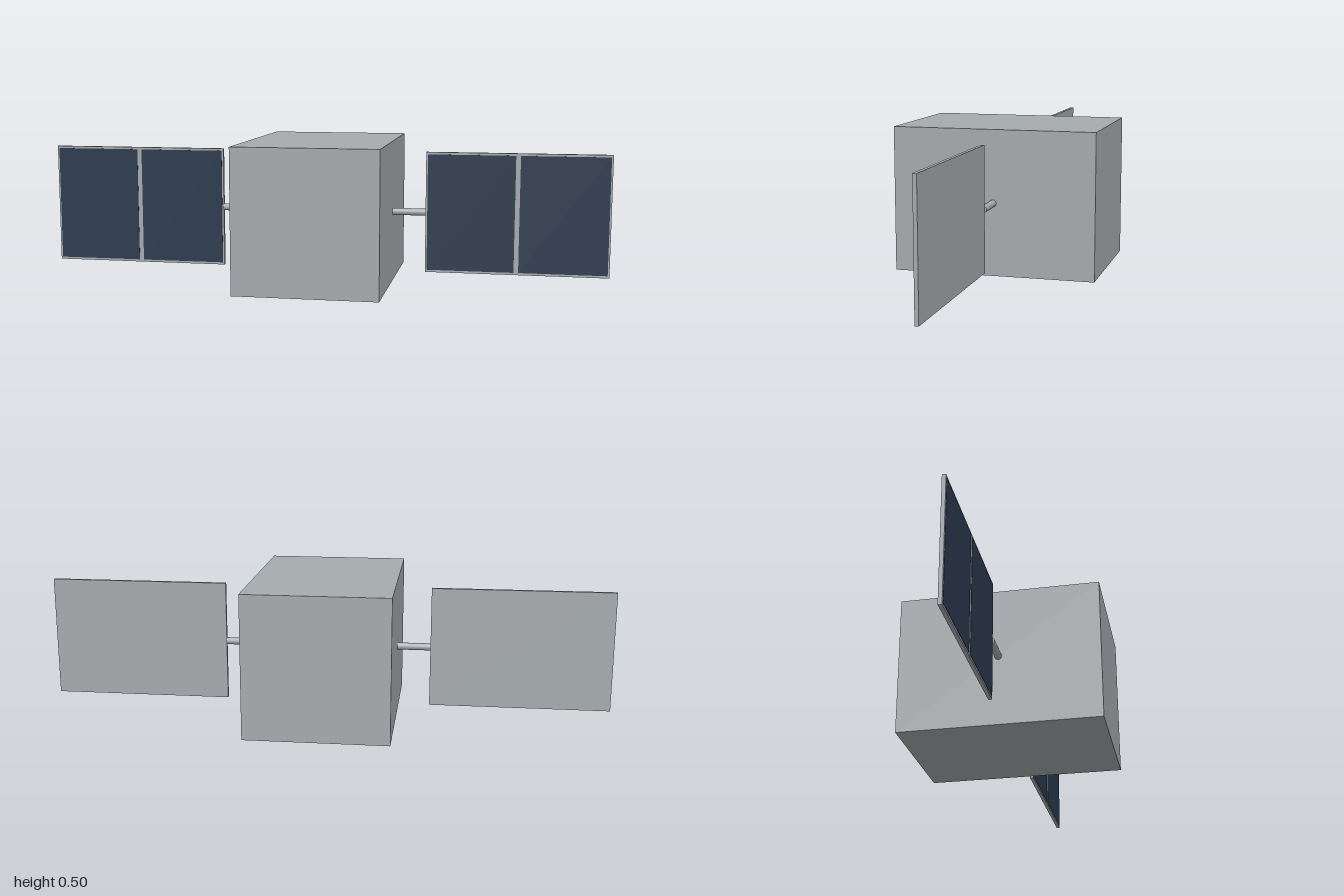
import * as THREE from 'three';

export function createModel() {
  const metal = new THREE.MeshStandardMaterial({ color: 0xa6abae });
  metal.name = 'grey metal';
  const cellBlue = new THREE.MeshStandardMaterial({ color: 0x2c3a4e });
  cellBlue.name = 'dark blue cell';

  const model = new THREE.Group();
  model.name = 'satellite';
  const midY = 0.25;

  const addBox = (parent, name, material, size, position) => {
    const mesh = new THREE.Mesh(new THREE.BoxGeometry(...size), material);
    mesh.name = name;
    mesh.position.set(...position);
    parent.add(mesh);
  };

  // Main body
  addBox(model, 'body', metal, [0.5, 0.5, 0.7], [0, midY, 0]);

  // A boom and a solar wing on each side
  const inner = 0.366, outer = 1;
  const wingWidth = outer - inner, wingHeight = 0.425;
  const border = 0.006, divider = 0.016;
  const cellWidth = (wingWidth - divider) / 2 - border;
  const cellHeight = wingHeight - 2 * 0.008;

  for (const side of [1, -1]) {
    const wing = new THREE.Group();
    wing.name = side > 0 ? 'leftWing' : 'rightWing';
    model.add(wing);

    const boom = new THREE.Mesh(new THREE.CylinderGeometry(0.0125, 0.0125, inner - 0.24, 16), metal);
    boom.name = 'boom';
    boom.rotation.z = Math.PI / 2;
    boom.position.set(side * (inner + 0.24) / 2, midY, 0);
    wing.add(boom);

    const centre = side * (inner + outer) / 2;
    addBox(wing, 'panelFrame', metal, [wingWidth, wingHeight, 0.0125], [centre, midY, 0]);

    // Two thin cell plates on the front face only
    for (const k of [-1, 1]) {
      const x = centre + k * (divider + cellWidth) / 2;
      addBox(wing, 'solarCell', cellBlue, [cellWidth, cellHeight, 0.002], [x, midY, 0.0064]);
    }
  }
  return model;
}
